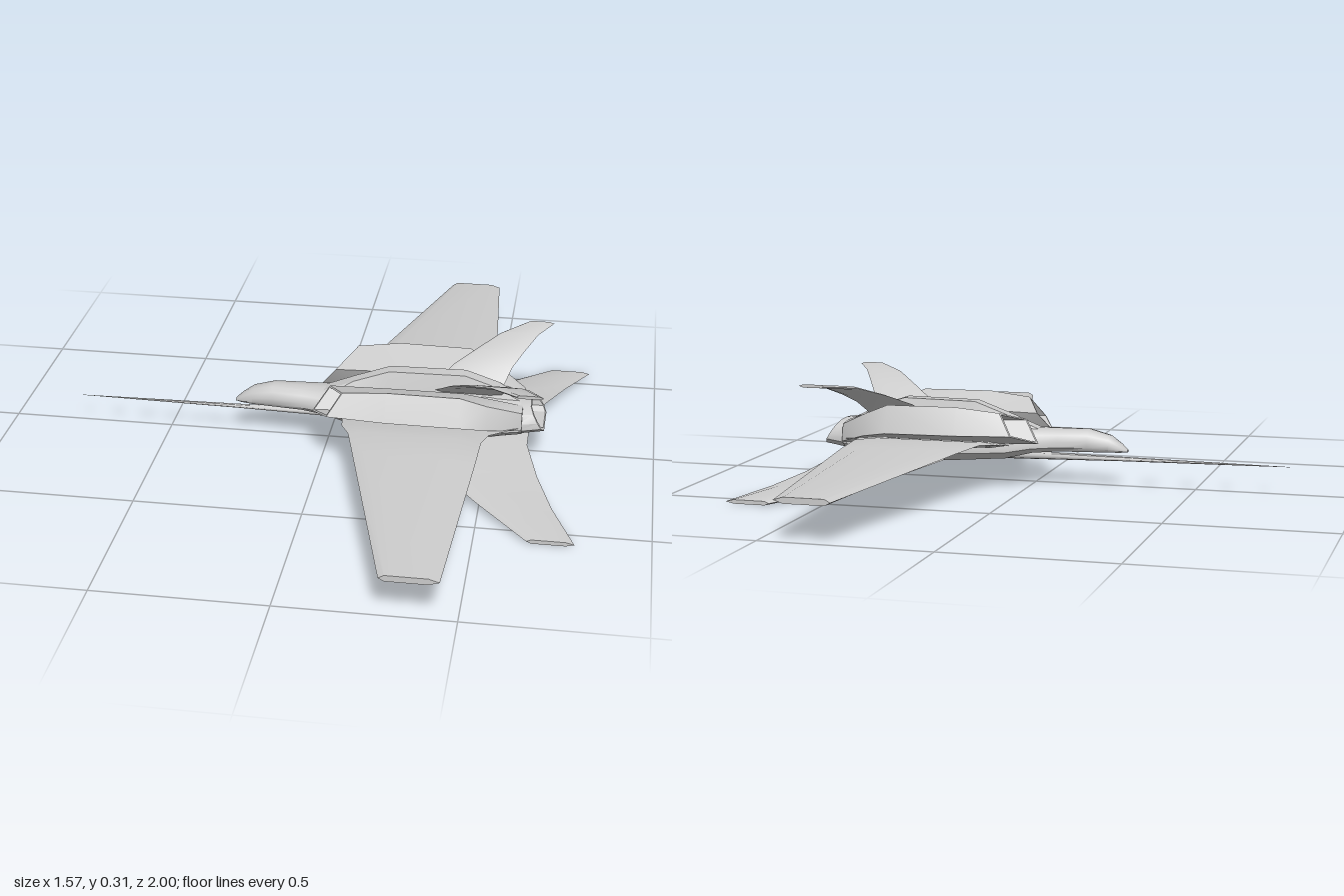
import * as THREE from 'three';
import { toCreasedNormals } from 'three/addons/utils/BufferGeometryUtils.js';

const material = new THREE.MeshStandardMaterial({ color: 0xcccccc, side: THREE.DoubleSide });

// Skin a row of equal-length loops of [x, y, z] points and cap both ends
function loft(name, loops, crease = 0.5) {
  const n = loops[0].length;
  const tris = [];
  const centre = (l) => [0, 1, 2].map((k) => l.reduce((s, p) => s + p[k], 0) / n);
  const first = centre(loops[0]);
  const last = centre(loops[loops.length - 1]);
  for (let j = 0; j < n; j++) {
    const k = (j + 1) % n;
    for (let i = 0; i < loops.length - 1; i++) {
      const a = loops[i], b = loops[i + 1];
      tris.push([a[j], b[j], b[k]], [a[j], b[k], a[k]]);
    }
    tris.push([first, loops[0][j], loops[0][k]]);
    tris.push([last, loops[loops.length - 1][k], loops[loops.length - 1][j]]);
  }
  // Wind every face outward, whichever way the loops run
  const v = (p) => new THREE.Vector3(...p);
  const volume = tris.reduce((s, [a, b, c]) => s + v(a).dot(v(b).cross(v(c))), 0);
  if (volume < 0) tris.forEach((t) => t.reverse());
  let geometry = new THREE.BufferGeometry();
  geometry.setAttribute('position', new THREE.Float32BufferAttribute(tris.flat(2), 3));
  geometry = toCreasedNormals(geometry, crease);
  const mesh = new THREE.Mesh(geometry, material);
  mesh.name = name;
  return mesh;
}

// Shrink a loop around its centre and shift it along x
function inset(loop, scale, dx = 0) {
  const c = [0, 1, 2].map((k) => loop.reduce((s, p) => s + p[k], 0) / loop.length);
  return loop.map((p) => p.map((q, k) => c[k] + (q - c[k]) * scale + (k === 0 ? dx : 0)));
}

const mirror = (loops) => loops.map((l) => l.map(([x, y, z]) => [x, y, -z]));

// Body cross-section: flat floor, full sides, rounded roof
function bodyLoop(x, w, y0, y1, slant = 0) {
  const outline = [[0.75, 0], [1, 0.2], [1, 0.45], [0.86, 0.75], [0.55, 0.95], [0, 1]];
  const other = outline.slice(0, -1).reverse().map(([a, b]) => [-a, b]);
  return [...outline, ...other].map(([a, b]) => [x - slant * b, y0 + (y1 - y0) * b, a * w]);
}

// Spine cross-section: narrow trapezoid
const spineLoop = (x, y) => [[0.045, 0.15], [0.022, y], [-0.022, y], [-0.045, 0.15]]
  .map(([z, h]) => [x, h, z]);

// Thin surface section with bevelled leading and trailing edges
function foilLoop([z, y, front, back], thickness) {
  const chord = back - front;
  const t = thickness / 2;
  return [[0, 0], [0.1, t], [0.82, t], [1, 0], [0.82, -t], [0.1, -t]]
    .map(([f, h]) => [front + chord * f, y + h, z]);
}

export function createModel() {
  const group = new THREE.Group();
  const pair = (name, loops) => {
    group.add(loft('left' + name, loops), loft('right' + name, mirror(loops)));
  };

  // Cockpit and central body: x, half width, floor, roof
  group.add(loft('fuselage', [
    [-0.29, 0.01, 0.105, 0.112], [-0.27, 0.022, 0.105, 0.13], [-0.235, 0.033, 0.105, 0.155],
    [-0.17, 0.042, 0.105, 0.172], [-0.08, 0.052, 0.104, 0.171], [0, 0.066, 0.098, 0.17],
    [0.08, 0.09, 0.08, 0.18], [0.27, 0.1, 0.066, 0.19], [0.5, 0.1, 0.075, 0.19],
    [0.6, 0.092, 0.09, 0.178],
  ].map((s) => bodyLoop(...s)), 0.7));

  // Dorsal spine between the engines
  group.add(loft('spine', [
    [-0.02, 0.165], [0.08, 0.205], [0.19, 0.245], [0.42, 0.248], [0.52, 0.215], [0.6, 0.17],
  ].map((s) => spineLoop(...s))));

  // Long nose probe running under the body
  group.add(loft('noseProbe', [
    [-0.785, 0.0005, 0.083], [-0.27, 0.007, 0.083], [0, 0.012, 0.082], [0.27, 0.018, 0.083], [0.4, 0.012, 0.085],
  ].map(([x, r, y]) => Array.from({ length: 8 }, (_, i) => {
    const a = (i / 8) * Math.PI * 2;
    return [x, y + r * Math.sin(a), r * Math.cos(a)];
  })), 1));

  // Hollow exhaust with a slanted lip
  const lip = bodyLoop(0.667, 0.085, 0.103, 0.176, 0.045);
  group.add(loft('exhaustNozzle', [
    bodyLoop(0.58, 0.094, 0.09, 0.18), lip, inset(lip, 0.86), inset(lip, 0.75, -0.06),
  ]));

  // Tilted engine boxes; corners run outer top, inner top, inner bottom, outer bottom
  const intake = [[0.068, 0.236, 0.172], [0.013, 0.203, 0.058], [-0.035, 0.135, 0.1], [0.025, 0.172, 0.21]];
  const box = (x, corners) => corners.map(([y, z]) => [x, y, z]);
  pair('Engine', [
    inset(intake, 0.75, 0.09), inset(intake, 0.88), intake,
    box(0.2, [[0.25, 0.182], [0.207, 0.06], [0.125, 0.09], [0.168, 0.218]]),
    box(0.42, [[0.248, 0.18], [0.207, 0.06], [0.12, 0.09], [0.165, 0.214]]),
    box(0.5, [[0.215, 0.155], [0.195, 0.06], [0.11, 0.08], [0.15, 0.185]]),
    box(0.6, [[0.168, 0.09], [0.175, 0.05], [0.1, 0.06], [0.115, 0.1]]),
  ]);

  // Flying surfaces: z, y, leading edge x, trailing edge x
  pair('Wing', [
    [0.06, 0.12, 0.06, 0.6], [0.11, 0.127, 0.06, 0.59], [0.2, 0.143, 0.07, 0.51],
    [0.27, 0.153, 0.1, 0.493], [0.4, 0.148, 0.133, 0.487], [1, 0.114, 0.287, 0.45],
  ].map((s) => foilLoop(s, 0.018)));

  pair('UpperTail', [
    [0.02, 0.19, 0.32, 0.53], [0.08, 0.237, 0.375, 0.555], [0.13, 0.267, 0.435, 0.585],
    [0.2, 0.299, 0.51, 0.625], [0.27, 0.31, 0.59, 0.67],
  ].map((s) => foilLoop(s, 0.01)));

  pair('LowerTail', [
    [0, 0.078, 0.27, 0.62], [0.1, 0.07, 0.27, 0.62], [0.25, 0.044, 0.36, 0.66],
    [0.4, 0.024, 0.495, 0.712], [0.565, 0.006, 0.65, 0.785],
  ].map((s) => foilLoop(s, 0.012)));

  return group;
}
